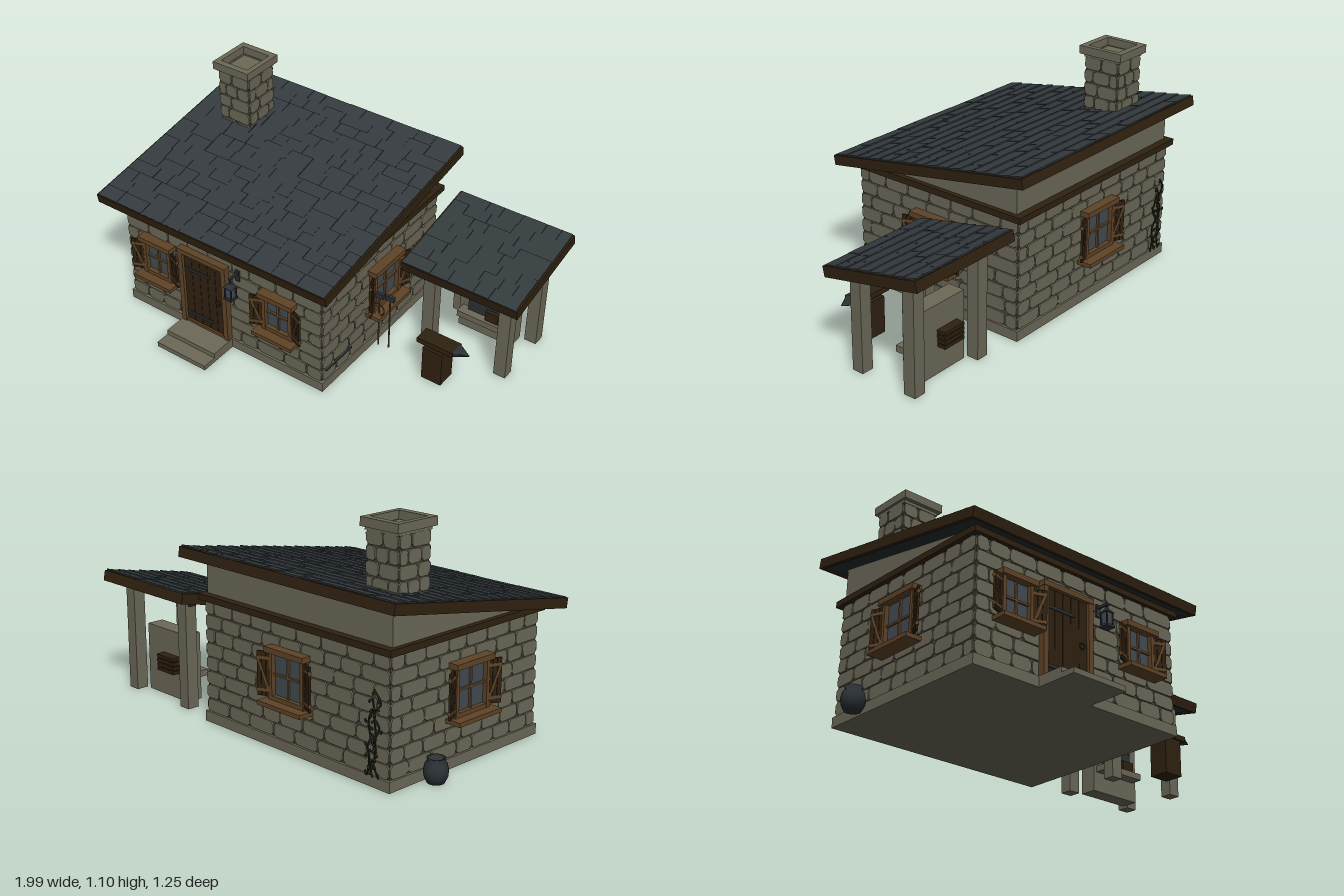
import * as THREE from 'three';
import { mergeGeometries } from 'three/addons/utils/BufferGeometryUtils.js';

const mat = (name, color) => {
  const m = new THREE.MeshStandardMaterial({ color });
  m.name = name;
  return m;
};
const M = {
  stone: mat('stone', 0x6c6958),
  mortar: mat('mortar', 0x45433a),
  slate: mat('slate', 0x343b3e),
  slateDark: mat('dark slate', 0x262c2f),
  darkWood: mat('dark wood', 0x2f2110),
  wood: mat('wood', 0x5f4427),
  iron: mat('iron', 0x2b3135),
  glass: mat('glass', 0x434c52),
  vine: mat('vine', 0x1f2416),
};

let seed = 7;
const rand = () => (seed = (seed * 16807) % 2147483647) / 2147483647;
const spread = (a) => (rand() - 0.5) * 2 * a;

function add(parent, name, geo, material, x = 0, y = 0, z = 0, rx = 0, ry = 0, rz = 0) {
  const m = new THREE.Mesh(geo, material);
  m.name = name;
  m.position.set(x, y, z);
  m.rotation.set(rx, ry, rz);
  parent.add(m);
  return m;
}
// Box given by its two extreme corners
function span(parent, name, material, x0, x1, y0, y1, z0, z1) {
  return add(parent, name, new THREE.BoxGeometry(x1 - x0, y1 - y0, z1 - z0), material,
    (x0 + x1) / 2, (y0 + y1) / 2, (z0 + z1) / 2);
}
function group(parent, name, x = 0, y = 0, z = 0, rx = 0, ry = 0) {
  const g = new THREE.Group();
  g.name = name;
  g.position.set(x, y, z);
  g.rotation.set(rx, ry, 0);
  parent.add(g);
  return g;
}

// One stone with chamfered, slightly uneven corners
function stone(x, y, w, h) {
  const c = Math.min(w, h) * 0.22, j = () => spread(0.004);
  const pts = [[c, 0], [w - c, 0], [w, c], [w, h - c], [w - c, h], [c, h], [0, h - c], [0, c]]
    .map(([a, b]) => new THREE.Vector2(x + a + j() * 0.6, y + b + j() * 0.4));
  return new THREE.ExtrudeGeometry(new THREE.Shape(pts), { depth: 0.008, bevelEnabled: false });
}
// Courses of stone filling a rectangle that faces +z
function masonry(len, height, rows, width) {
  const parts = [], rh = height / rows, gap = 0.005;
  for (let r = 0; r < rows; r++) {
    let x = -len / 2, first = r % 2;
    while (x < len / 2 - 0.001) {
      let w = width * (first ? 0.55 : 1) * (1 + spread(0.25));
      first = 0;
      if (len / 2 - x - w < width * 0.45) w = len / 2 - x;
      parts.push(stone(x + gap / 2, r * rh + gap / 2, w - gap, rh - gap));
      x += w;
    }
  }
  return mergeGeometries(parts);
}
// Mortar core with masonry on its four sides
function stoneBlock(parent, name, x0, x1, y0, y1, z0, z1, rows, width) {
  const cx = (x0 + x1) / 2, cz = (z0 + z1) / 2, w = x1 - x0, d = z1 - z0;
  const g = group(parent, name);
  span(g, name + ' mortar', M.mortar, x0, x1, y0, y1, z0, z1);
  [[w, cx, z1, 0], [w, cx, z0, Math.PI], [d, x1, cz, Math.PI / 2], [d, x0, cz, -Math.PI / 2]]
    .forEach(([len, x, z, ry]) =>
      add(g, name + ' stones', masonry(len + 0.008, y1 - y0, rows, width), M.stone, x, y0, z, 0, ry));
}

// Pitched slab with edge boards and overlapping slates
function roof(parent, name, x, y, z, angle, w, len, t) {
  const g = group(parent, name, x, y, z, angle);
  const b = 0.018;
  add(g, name + ' slab', new THREE.BoxGeometry(w - 2 * b, t - 0.014, len - 2 * b), M.slateDark, 0, 0, 0);
  for (const s of [-1, 1]) {
    add(g, name + ' side board', new THREE.BoxGeometry(b, t - 0.004, len), M.darkWood, s * (w - b) / 2, -0.002, 0);
    add(g, name + ' end board', new THREE.BoxGeometry(w, t - 0.004, b), M.darkWood, 0, -0.002, s * (len - b) / 2);
  }
  const parts = [], rows = Math.round(len / 0.07), rl = (len - 0.012) / rows;
  for (let r = 0; r < rows; r++) {
    let sx = -w / 2 + 0.008;
    const end = w / 2 - 0.008;
    while (sx < end - 0.001) {
      let sw = 0.12 + spread(0.05);
      if (end - sx - sw < 0.05) sw = end - sx;
      const s = new THREE.BoxGeometry(sw - 0.002, 0.006, rl + 0.004);
      s.rotateX(0.07);
      s.translate(sx + sw / 2, t / 2 - 0.002 + spread(0.0015), -len / 2 + 0.006 + (r + 0.5) * rl);
      parts.push(s);
      sx += sw;
    }
  }
  add(g, name + ' slates', mergeGeometries(parts), M.slate);
}

// Window facing +z; origin on the wall plane at the bottom of the frame
function windowUnit(parent, name, x, y, z, ry, w, h) {
  const g = group(parent, name, x, y, z, 0, ry);
  const f = 0.018;
  span(g, 'pane', M.glass, -w / 2, w / 2, 0, h, 0, 0.012);
  for (const s of [-1, 1]) {
    add(g, 'jamb', new THREE.BoxGeometry(f, h, 0.034), M.wood, s * (w - f) / 2, h / 2, 0.017);
    // Open shutter with a Z brace
    const sh = group(g, 'shutter', s * w / 2, 0.01, 0.022, 0, -s * 0.4);
    const sw = 0.066, hh = h - 0.02;
    for (let i = 0; i < 3; i++)
      add(sh, 'shutter plank', new THREE.BoxGeometry(sw / 3 - 0.002, hh, 0.01), M.darkWood, s * (i + 0.5) * sw / 3, hh / 2, 0);
    for (const k of [0.14, 0.86])
      add(sh, 'shutter batten', new THREE.BoxGeometry(sw, 0.014, 0.016), M.wood, s * sw / 2, hh * k, 0);
    add(sh, 'shutter brace', new THREE.BoxGeometry(0.01, hh * 0.74, 0.015), M.wood, s * sw / 2, hh / 2, 0, 0, 0, s * -0.35);
  }
  add(g, 'mullion', new THREE.BoxGeometry(0.01, h, 0.02), M.wood, 0, h / 2, 0.012);
  add(g, 'crossbar', new THREE.BoxGeometry(w, 0.01, 0.02), M.wood, 0, h * 0.52, 0.012);
  add(g, 'lintel', new THREE.BoxGeometry(w + 0.03, 0.026, 0.05), M.wood, 0, h + 0.006, 0.025);
  add(g, 'sill', new THREE.BoxGeometry(w + 0.06, 0.02, 0.08), M.wood, 0, -0.01, 0.04);
  add(g, 'sill apron', new THREE.BoxGeometry(w + 0.01, 0.02, 0.03), M.wood, 0, 0.01, 0.018);
}

function buildHouse(root) {
  const g = group(root, 'house');
  span(g, 'foundation', M.stone, -0.895, 0.285, 0, 0.05, -0.548, 0.42);
  stoneBlock(g, 'walls', -0.882, 0.272, 0.05, 0.59, -0.535, 0.405, 8, 0.13);
  span(g, 'wall plate', M.darkWood, -0.91, 0.3, 0.588, 0.618, -0.565, 0.43);
  // Sloping upper wall
  const s = new THREE.Shape([[-0.41, 0.6], [0.527, 0.6], [0.527, 0.785], [-0.41, 0.624]].map((p) => new THREE.Vector2(...p)));
  add(g, 'upper wall', new THREE.ExtrudeGeometry(s, { depth: 1.16, bevelEnabled: false }), M.stone, -0.885, 0, 0, 0, Math.PI / 2)
    .position.set(-0.885, 0, 0);
  roof(g, 'main roof', -0.31, 0.718, -0.06, 0.1695, 1.34, 1.135, 0.052);

  // Chimney with open cap
  stoneBlock(g, 'chimney', -0.803, -0.627, 0.72, 1.045, -0.41, -0.23, 5, 0.09);
  const cap = new THREE.Shape([[-0.107, -0.118], [0.107, -0.118], [0.107, 0.118], [-0.107, 0.118]].map((p) => new THREE.Vector2(...p)));
  cap.holes.push(new THREE.Path([[-0.08, -0.085], [-0.08, 0.085], [0.08, 0.085], [0.08, -0.085]].map((p) => new THREE.Vector2(...p))));
  add(g, 'chimney cap', new THREE.ExtrudeGeometry(cap, { depth: 0.04, bevelEnabled: false }), M.stone, -0.714, 1.055, -0.318, -Math.PI / 2);
  span(g, 'chimney collar', M.stone, -0.81, -0.62, 1.04, 1.056, -0.42, -0.22);
  span(g, 'chimney flue', M.mortar, -0.79, -0.638, 1.05, 1.058, -0.4, -0.236);
  span(g, 'flue floor', M.stone, -0.775, -0.655, 1.05, 1.062, -0.385, -0.25);

  // Steps
  span(g, 'lower step', M.stone, -0.545, -0.25, 0, 0.025, 0.41, 0.628);
  span(g, 'upper step', M.stone, -0.545, -0.25, 0.02, 0.05, 0.41, 0.555);

  // Door
  const d = group(g, 'door', -0.398, 0.05, 0.41);
  for (let i = 0; i < 5; i++)
    add(d, 'door plank', new THREE.BoxGeometry(0.045, 0.42, 0.016), M.darkWood, (i - 2) * 0.047, 0.21, 0.012);
  span(d, 'door backing', M.darkWood, -0.12, 0.12, 0, 0.42, 0, 0.015);
  for (const s of [-1, 1]) span(d, 'door post', M.wood, s * 0.13 - 0.013, s * 0.13 + 0.013, -0.01, 0.42, 0, 0.035);
  span(d, 'door lintel', M.wood, -0.145, 0.145, 0.412, 0.438, 0, 0.038);
  span(d, 'threshold', M.wood, -0.13, 0.13, -0.002, 0.012, 0, 0.03);
  for (const y of [0.05, 0.32]) span(d, 'door strap', M.iron, -0.115, 0.04, y, y + 0.014, 0.02, 0.025);
  add(d, 'door ring', new THREE.TorusGeometry(0.014, 0.003, 6, 14), M.iron, 0.085, 0.2, 0.025);

  // Windows
  for (const x of [-0.682, 0.042]) windowUnit(g, 'front window', x, 0.242, 0.41, 0, 0.168, 0.195);
  windowUnit(g, 'right window', 0.28, 0.235, -0.067, Math.PI / 2, 0.215, 0.225);
  windowUnit(g, 'left window', -0.89, 0.235, -0.067, -Math.PI / 2, 0.215, 0.225);
  windowUnit(g, 'back window', -0.3, 0.235, -0.54, Math.PI, 0.215, 0.225);

  // Lantern beside the door
  const l = group(g, 'lantern', -0.2, 0, 0.472);
  span(l, 'lantern bracket', M.iron, -0.006, 0.006, 0.468, 0.48, -0.062, 0.006);
  span(l, 'lantern back plate', M.iron, -0.012, 0.012, 0.43, 0.49, -0.062, -0.05);
  span(l, 'lantern hanger', M.iron, -0.003, 0.003, 0.44, 0.47, -0.003, 0.003);
  span(l, 'lantern glass', M.glass, -0.016, 0.016, 0.37, 0.43, -0.016, 0.016);
  add(l, 'lantern cap', new THREE.CylinderGeometry(0.01, 0.034, 0.022, 4), M.iron, 0, 0.441, 0, 0, Math.PI / 4);
  span(l, 'lantern base', M.iron, -0.024, 0.024, 0.36, 0.372, -0.024, 0.024);
  for (const a of [-1, 1]) for (const b of [-1, 1])
    add(l, 'lantern bar', new THREE.BoxGeometry(0.006, 0.062, 0.006), M.iron, a * 0.018, 0.4, b * 0.018);
}

function buildShed(root) {
  const g = group(root, 'forge shelter');
  roof(g, 'shelter roof', 0.685, 0.528, -0.333, 0.198, 0.615, 0.535, 0.055);
  for (const x of [0.488, 0.893]) {
    span(g, 'front post', M.stone, x - 0.031, x + 0.031, 0, 0.475, -0.214, -0.155);
    span(g, 'back post', M.stone, x - 0.031, x + 0.031, 0, 0.535, -0.516, -0.454);
  }
  for (const [y, z] of [[0.468, -0.185], [0.525, -0.485]])
    add(g, 'roof beam', new THREE.BoxGeometry(0.5, 0.03, 0.03), M.darkWood, 0.69, y, z);
  // Hearth
  span(g, 'forge wall', M.stone, 0.54, 0.836, 0, 0.338, -0.456, -0.37);
  span(g, 'hearth back', M.iron, 0.6, 0.775, 0.135, 0.255, -0.37, -0.347);
  span(g, 'hearth shelf', M.stone, 0.56, 0.815, 0.1, 0.132, -0.37, -0.31);
  span(g, 'fuel log', M.darkWood, 0.705, 0.775, 0.132, 0.185, -0.345, -0.325);
  // Slatted bellows behind the wall
  for (let i = 0; i < 4; i++)
    span(g, 'bellows fold', M.darkWood, 0.59, 0.715, 0.135 + i * 0.022, 0.151 + i * 0.022, -0.5, -0.45);
  span(g, 'bellows core', M.darkWood, 0.6, 0.705, 0.14, 0.21, -0.49, -0.45);

  // Anvil on a block
  const a = group(root, 'anvil', 0.652, 0, 0.014);
  span(a, 'anvil block', M.darkWood, -0.053, 0.053, 0, 0.183, -0.05, 0.05);
  span(a, 'anvil waist', M.iron, -0.045, 0.045, 0.18, 0.195, -0.03, 0.03);
  span(a, 'anvil body', M.darkWood, -0.092, 0.1, 0.192, 0.218, -0.042, 0.042);
  const horn = new THREE.CylinderGeometry(0.003, 0.052, 0.068, 4, 1).rotateY(Math.PI / 4).rotateZ(-Math.PI / 2);
  add(a, 'anvil horn', horn, M.iron, 0.132, 0.206, 0).scale.y = 0.34;
}

function buildProps(root) {
  // Water pot
  const prof = [[0, 0], [0.038, 0], [0.052, 0.03], [0.055, 0.055], [0.048, 0.085], [0.036, 0.098], [0.042, 0.11], [0.032, 0.11], [0.03, 0.095], [0, 0.09]]
    .map((p) => new THREE.Vector2(...p));
  add(root, 'pot', new THREE.LatheGeometry(prof, 18), M.iron, -0.945, 0, -0.32);

  // Long tools by the right wall
  for (const [x, z] of [[0.332, 0.03], [0.385, 0.02]]) {
    add(root, 'tool shaft', new THREE.CylinderGeometry(0.004, 0.004, 0.3, 8), M.wood, x, 0.19, z);
    add(root, 'tool head', new THREE.BoxGeometry(0.048, 0.026, 0.016), M.iron, x, 0.342, z);
  }
  add(root, 'hanging hoop', new THREE.TorusGeometry(0.034, 0.003, 6, 20), M.wood, 0.332, 0.265, 0.04);
  span(root, 'tool rail', M.wood, 0.28, 0.36, 0.205, 0.22, 0.01, 0.04);
  span(root, 'wall blade', M.iron, 0.28, 0.29, 0.11, 0.116, 0.19, 0.39);

  // Climbing vine on the back wall
  const v = group(root, 'vine', -0.81, 0, -0.553);
  for (let k = 0; k < 3; k++) {
    const pts = [];
    for (let i = 0; i < 8; i++) pts.push(new THREE.Vector3((k - 1) * 0.022 + spread(0.022), 0.05 + i * (0.055 - k * 0.006), -rand() * 0.008));
    const curve = new THREE.CatmullRomCurve3(pts);
    add(v, 'vine stem', new THREE.TubeGeometry(curve, 28, 0.004, 5), M.vine);
    for (let i = 0; i < 12; i++) {
      const p = curve.getPoint((i + 0.5) / 12);
      add(v, 'vine leaf', new THREE.SphereGeometry(0.012, 5, 3), M.vine, p.x + spread(0.018), p.y, p.z - 0.004, 0, 0, spread(1.5)).scale.set(1, 0.6, 0.4);
    }
  }
}

export function createModel() {
  const root = new THREE.Group();
  root.name = 'stone smithy';
  buildHouse(root);
  buildShed(root);
  buildProps(root);
  return root;
}
